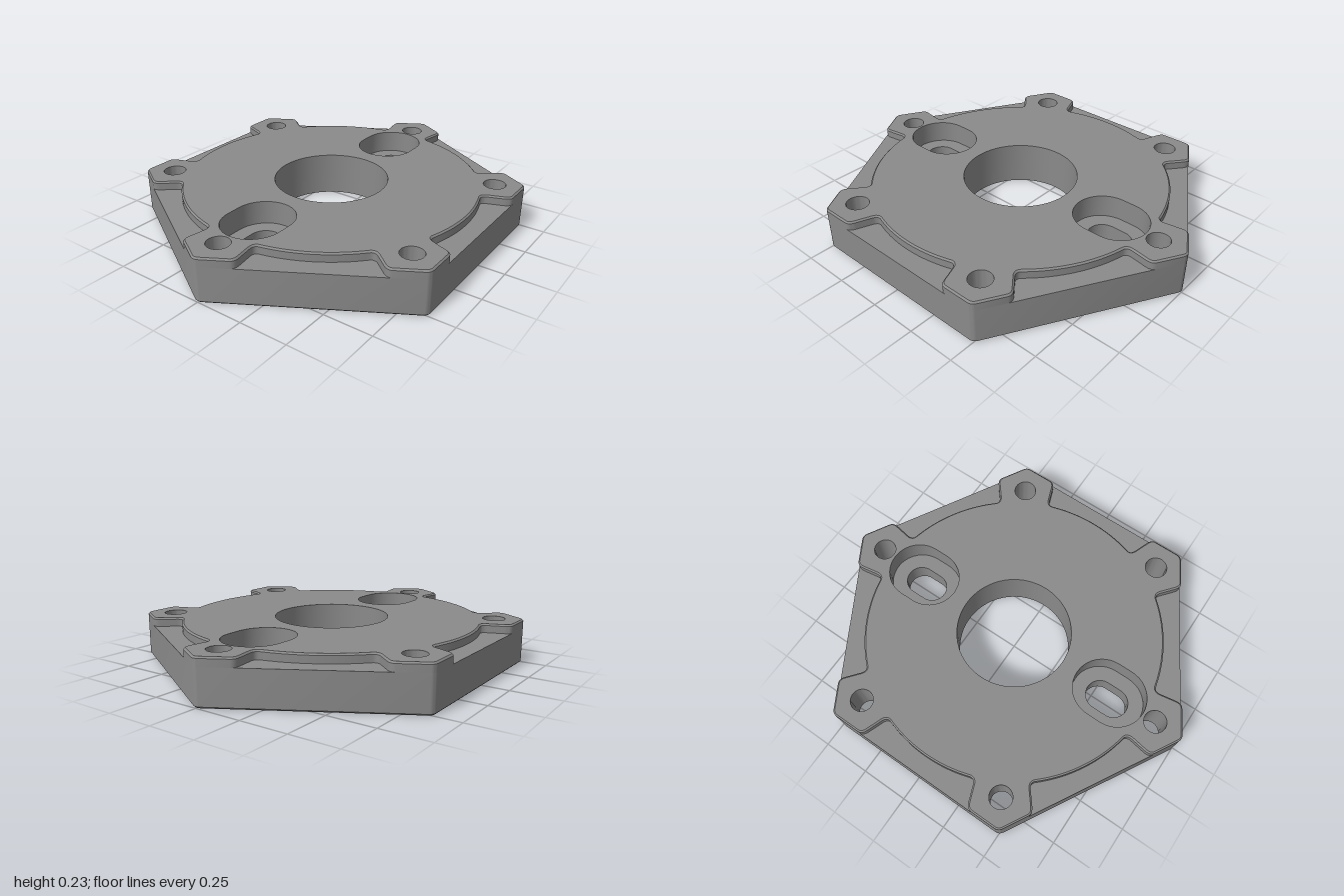
import * as THREE from 'three';
import { toCreasedNormals } from 'three/addons/utils/BufferGeometryUtils.js';

const HEIGHT = 0.23, LEDGE = 0.185, POCKET = 0.11, EDGE = 0.008;
const APOTHEM = 0.871, CORNER_R = 0.04;
const V = (x, y) => new THREE.Vector2(x, y);
const rad = THREE.MathUtils.degToRad;

// Arc points, counter-clockwise, angles in degrees
function arc(cx, cy, r, from, to, n) {
  return Array.from({ length: n + 1 }, (_, i) => {
    const a = rad(from + (to - from) * i / n);
    return V(cx + r * Math.cos(a), cy + r * Math.sin(a));
  });
}
const circle = (x, y, r, n = 40) => arc(x, y, r, 0, 360, n).slice(0, -1);
const slot = (x, half, r) => [
  ...arc(x + half, 0, r, -90, 90, 20),
  ...arc(x - half, 0, r, 90, 270, 20),
];

// Rounded hexagon corner k
function corner(k) {
  const d = (APOTHEM - CORNER_R) / Math.cos(rad(30)), a = rad(60 * k);
  return arc(d * Math.cos(a), d * Math.sin(a), CORNER_R, 60 * k - 30, 60 * k + 30, 6);
}

// Shallow recess in side k: filleted flanks joined by an arc round the centre
function recess(k) {
  const quad = (a, b, c) => new THREE.QuadraticBezierCurve(a, b, c).getPoints(5);
  const flank = [
    ...quad(V(APOTHEM, -0.345), V(APOTHEM, -0.32), V(0.84, -0.308)),
    ...quad(V(0.765, -0.28), V(0.735, -0.27), V(0.738, -0.247)),
  ];
  const mirrored = flank.map(p => V(p.x, -p.y)).reverse();
  const middle = arc(0, 0, 0.778, -18.5, 18.5, 24).slice(1, -1);
  return [...flank, ...middle, ...mirrored].map(p => p.rotateAround(V(0, 0), rad(30 + 60 * k)));
}

// Move an outline inwards by d
function inset(pts, d) {
  return pts.map((p, i) => {
    const a = pts[(i + pts.length - 1) % pts.length], b = pts[(i + 1) % pts.length];
    const t = b.clone().sub(a).normalize();
    return V(p.x - t.y * d, p.y + t.x * d);
  });
}

// Wall through stacked outlines [points, y]
function wall(rings) {
  const pos = [];
  for (let r = 0; r + 1 < rings.length; r++) {
    const [low, y0] = rings[r], [high, y1] = rings[r + 1];
    low.forEach((p, i) => {
      const j = (i + 1) % low.length;
      const a = [p.x, y0, -p.y], b = [low[j].x, y0, -low[j].y];
      const c = [high[j].x, y1, -high[j].y], d = [high[i].x, y1, -high[i].y];
      pos.push(...a, ...b, ...c, ...a, ...c, ...d);
    });
  }
  const g = new THREE.BufferGeometry();
  g.setAttribute('position', new THREE.Float32BufferAttribute(pos, 3));
  return toCreasedNormals(g, 0.6);
}
const bore = (pts, y0, y1) => {
  const inner = [...pts].reverse();
  return wall([[inner, y0], [inner, y1]]);
};

// Flat face with holes, facing up or down
function face(pts, holes, y, up = true) {
  const s = new THREE.Shape(pts);
  s.holes = holes.map(h => new THREE.Path(h));
  return new THREE.ShapeGeometry(s).rotateX(up ? -Math.PI / 2 : Math.PI / 2).translate(0, y, 0);
}

export function createModel() {
  const group = new THREE.Group();
  const grey = new THREE.MeshStandardMaterial({ color: 0x8a8a8a });
  grey.name = 'machined grey';
  const add = (name, geometry) => {
    const m = new THREE.Mesh(geometry, grey);
    m.name = name;
    group.add(m);
  };

  const sides = [0, 1, 2, 3, 4, 5];
  const hex = sides.flatMap(corner);
  const raised = sides.flatMap(k => [...corner(k), ...recess(k)]);

  // Openings
  const centre = circle(0, 0, 0.298, 72);
  const bolts = sides.map(k => circle(0.849 * Math.cos(rad(60 * k)), 0.849 * Math.sin(rad(60 * k)), 0.058));
  const slots = [-1, 1].map(s => slot(s * 0.583, 0.038, 0.078));
  const pockets = [-1, 1].map(s => slot(s * 0.583, 0.038, 0.156));
  const through = [centre, ...bolts];

  // Hexagonal base
  add('baseUnderside', face(inset(hex, EDGE), [...through, ...slots], 0, false));
  add('baseSides', wall([[inset(hex, EDGE), 0], [hex, EDGE], [hex, LEDGE]]));
  add('ledges', face(hex, [...through, ...pockets], LEDGE));

  // Raised disc with six corner pads
  const rim = inset(raised, EDGE);
  add('raisedSides', wall([[raised, LEDGE], [raised, HEIGHT - EDGE], [rim, HEIGHT]]));
  add('raisedTop', face(rim, [...through, ...pockets], HEIGHT));

  // Bores, slots and their pockets
  add('centreBore', bore(centre, 0, HEIGHT));
  bolts.forEach(b => add('boltHole', bore(b, 0, HEIGHT)));
  slots.forEach((s, i) => {
    add('slotWall', bore(s, 0, POCKET));
    add('pocketFloor', face(pockets[i], [s], POCKET));
    add('pocketWall', bore(pockets[i], POCKET, HEIGHT));
  });
  return group;
}
